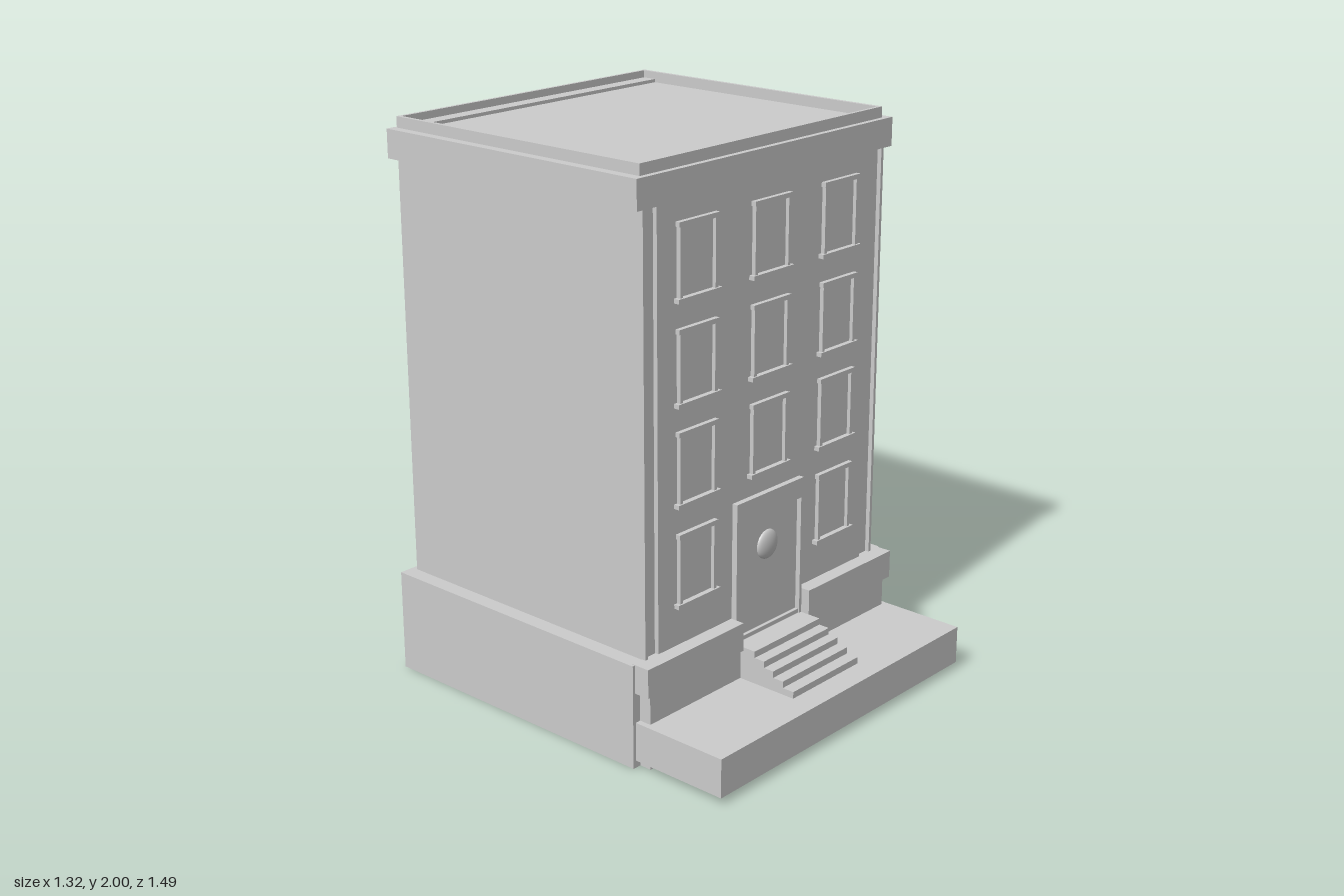
import * as THREE from 'three';

export function createModel() {
  const model = new THREE.Group();
  model.name = 'townhouse';
  const material = new THREE.MeshStandardMaterial({ color: 0xcccccc });

  // Box given by its limits on each axis
  function box(name, x0, x1, y0, y1, z0, z1, parent = model) {
    const mesh = new THREE.Mesh(new THREE.BoxGeometry(x1 - x0, y1 - y0, z1 - z0), material);
    mesh.position.set((x0 + x1) / 2, (y0 + y1) / 2, (z0 + z1) / 2);
    mesh.name = name;
    parent.add(mesh);
    return mesh;
  }
  // The same box on both sides of x = 0
  function pair(name, x0, x1, y0, y1, z0, z1, parent = model) {
    box(name + 'Left', x0, x1, y0, y1, z0, z1, parent);
    box(name + 'Right', -x1, -x0, y0, y1, z0, z1, parent);
  }

  // Foundation, front plinth and pavement
  box('foundation', -0.66, 0.66, 0, 0.37, -0.746, 0.38);
  box('frontPlinthLow', -0.627, 0.627, 0, 0.163, 0.37, 0.425);
  pair('frontPlinthMiddle', 0.172, 0.627, 0.163, 0.27, 0.37, 0.425);
  pair('frontPlinthBand', 0.177, 0.65, 0.27, 0.372, 0.37, 0.438);
  box('pavement', -0.648, 0.648, 0.026, 0.164, 0.37, 0.746);

  // Walls: core, side slabs and proud panels leaving grooves at the corners
  box('wallCore', -0.597, 0.597, 0.37, 1.87, -0.708, 0.368);
  pair('sideWall', 0.592, 0.604, 0.37, 1.87, -0.724, 0.384);
  box('frontWall', -0.542, 0.535, 0.37, 1.87, 0.36, 0.384);
  box('backWall', -0.542, 0.535, 0.37, 1.87, -0.724, -0.7);

  // Cornice, roof and parapet
  box('cornice', -0.638, 0.638, 1.862, 1.962, -0.736, 0.392);
  pair('parapetSide', 0.59, 0.604, 1.955, 2, -0.718, 0.372);
  for (const [name, outer, ledge, inner] of [['Front', 0.372, 0.36, 0.3], ['Back', -0.724, -0.712, -0.658]]) {
    box('parapet' + name, -0.604, 0.604, 1.955, 2, Math.min(outer, ledge), Math.max(outer, ledge));
    box('roofLedge' + name, -0.59, 0.59, 1.955, 1.974, Math.min(ledge, inner), Math.max(ledge, inner));
  }

  // Windows: three columns by four rows, the door taking the lowest middle place
  [0.508, 0.857, 1.197, 1.54].forEach((y, row) => {
    for (const x of [-0.362, 0, 0.36]) {
      if (row === 0 && x === 0) continue;
      const win = new THREE.Group();
      win.name = 'window';
      win.position.set(x, y, 0);
      box('sill', -0.103, 0.103, 0, 0.015, 0.38, 0.405, win);
      box('lintel', -0.095, 0.095, 0.242, 0.258, 0.38, 0.401, win);
      pair('jamb', 0.077, 0.09, 0.015, 0.242, 0.38, 0.399, win);
      box('pane', -0.077, 0.077, 0.015, 0.242, 0.375, 0.386, win);
      model.add(win);
    }
  });

  // Door with surround and flattened round knob
  pair('doorJamb', 0.164, 0.176, 0.28, 0.716, 0.37, 0.405);
  box('doorHead', -0.176, 0.176, 0.716, 0.788, 0.37, 0.405);
  box('door', -0.164, 0.164, 0.295, 0.716, 0.37, 0.387);
  const knob = new THREE.Mesh(new THREE.SphereGeometry(0.053, 32, 20), material);
  knob.name = 'doorKnob';
  knob.scale.z = 0.36;
  knob.position.set(0.003, 0.59, 0.387);
  model.add(knob);

  // Stairs up to the door
  const fronts = [0.655, 0.61, 0.568, 0.528, 0.487];
  fronts.forEach((z, i) => {
    box('step', -0.176, 0.176, 0.16 + i * 0.0235, 0.188 + i * 0.0235, 0.37, z);
  });
  box('threshold', -0.164, 0.164, 0.28, 0.297, 0.37, 0.4);

  return model;
}
